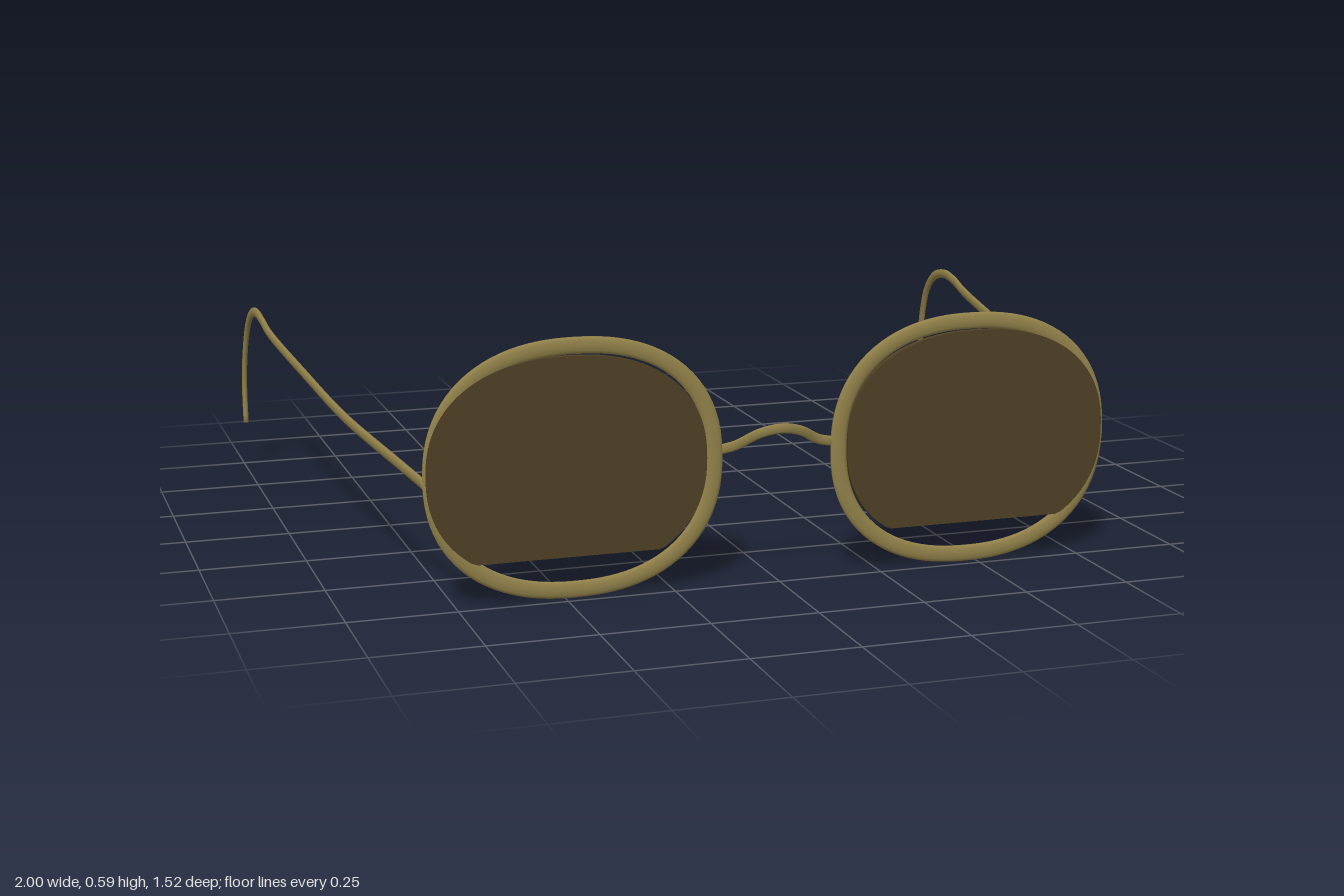
import * as THREE from 'three';

const brass = new THREE.MeshStandardMaterial({ color: 0x92824a });
brass.name = 'brass';
const tint = new THREE.MeshStandardMaterial({ color: 0x4f4025 });
tint.name = 'dark tint';

const V = (x, y, z) => new THREE.Vector3(x, y, z);

// Point on a rounded oval
function oval(cx, cy, rx, ry, t, power = 2.3) {
  const c = Math.cos(t), s = Math.sin(t), e = 2 / power;
  return [cx + rx * Math.sign(c) * Math.abs(c) ** e, cy + ry * Math.sign(s) * Math.abs(s) ** e];
}

// Sweeps an elliptical section along a curve; a is the half size along axis, b across it
function sweep(curve, axis, a, b, steps, closed = false, sides = 10) {
  const pos = [], idx = [];
  for (let i = 0; i <= steps; i++) {
    const p = curve.getPointAt(i / steps);
    const t = curve.getTangentAt(i / steps);
    const u = axis.clone().addScaledVector(t, -axis.dot(t)).normalize();
    const v = t.clone().cross(u);
    for (let j = 0; j < sides; j++) {
      const w = (j / sides) * Math.PI * 2;
      const q = p.clone().addScaledVector(u, a * Math.cos(w)).addScaledVector(v, b * Math.sin(w));
      pos.push(q.x, q.y, q.z);
    }
  }
  for (let i = 0; i < steps; i++) {
    const next = closed && i === steps - 1 ? 0 : i + 1;
    for (let j = 0; j < sides; j++) {
      const k = (j + 1) % sides;
      const A = i * sides + j, B = i * sides + k, C = next * sides + k, D = next * sides + j;
      idx.push(A, B, C, A, C, D);
    }
  }
  if (!closed) {
    const last = steps * sides;
    for (let j = 1; j < sides - 1; j++) {
      idx.push(0, j + 1, j, last, last + j, last + j + 1);
    }
  }
  const g = new THREE.BufferGeometry();
  g.setAttribute('position', new THREE.Float32BufferAttribute(pos, 3));
  g.setIndex(idx);
  g.computeVertexNormals();
  return g;
}

function add(group, name, geometry, material) {
  const mesh = new THREE.Mesh(geometry, material);
  mesh.name = name;
  group.add(mesh);
}

export function createModel() {
  const model = new THREE.Group();
  model.name = 'spectacles';

  for (const [side, s] of [['left', 1], ['right', -1]]) {
    // Rim
    const loop = [];
    for (let i = 0; i < 48; i++) {
      const [x, y] = oval(s * 0.475, 0.2975, 0.325, 0.2775, (i / 48) * Math.PI * 2);
      loop.push(V(x, y, 0.724));
    }
    const rimCurve = new THREE.CatmullRomCurve3(loop, true);
    add(model, side + 'Rim', sweep(rimCurve, V(0, 0, 1), 0.007, 0.02, 96, true), brass);

    // Lens, cut off straight near the bottom
    const outline = [];
    for (let i = 0; i < 96; i++) {
      const [x, y] = oval(s * 0.491, 0.3, 0.322, 0.253, (i / 96) * Math.PI * 2);
      outline.push(new THREE.Vector2(x, Math.max(y, 0.097)));
    }
    const lens = new THREE.ExtrudeGeometry(new THREE.Shape(outline), { depth: 0.015, bevelEnabled: false });
    lens.translate(0, 0, 0.7165);
    add(model, side + 'Lens', lens, tint);

    // Temple arm with its ear hook
    const arm = new THREE.CatmullRomCurve3([
      V(s * 0.813, 0.285, 0.725), V(s * 0.838, 0.3, 0.58), V(s * 0.9, 0.341, 0.27),
      V(s * 0.937, 0.38, -0.05), V(s * 0.972, 0.425, -0.41), V(s * 0.977, 0.442, -0.48),
      V(s * 0.98, 0.45, -0.55), V(s * 0.983, 0.433, -0.63), V(s * 0.986, 0.385, -0.69),
      V(s * 0.99, 0.3, -0.73), V(s * 0.992, 0.21, -0.745), V(s * 0.993, 0.118, -0.733),
    ]);
    add(model, side + 'Temple', sweep(arm, V(1, 0, 0), 0.007, 0.013, 90), brass);
  }

  // Arched nose bridge
  const bridge = new THREE.CatmullRomCurve3([
    V(-0.145, 0.313, 0.722), V(-0.1, 0.323, 0.727), V(-0.05, 0.35, 0.744), V(0, 0.361, 0.754),
    V(0.05, 0.35, 0.744), V(0.1, 0.323, 0.727), V(0.145, 0.313, 0.722),
  ]);
  add(model, 'bridge', sweep(bridge, V(0, 0, 1), 0.004, 0.012, 40), brass);

  return model;
}
